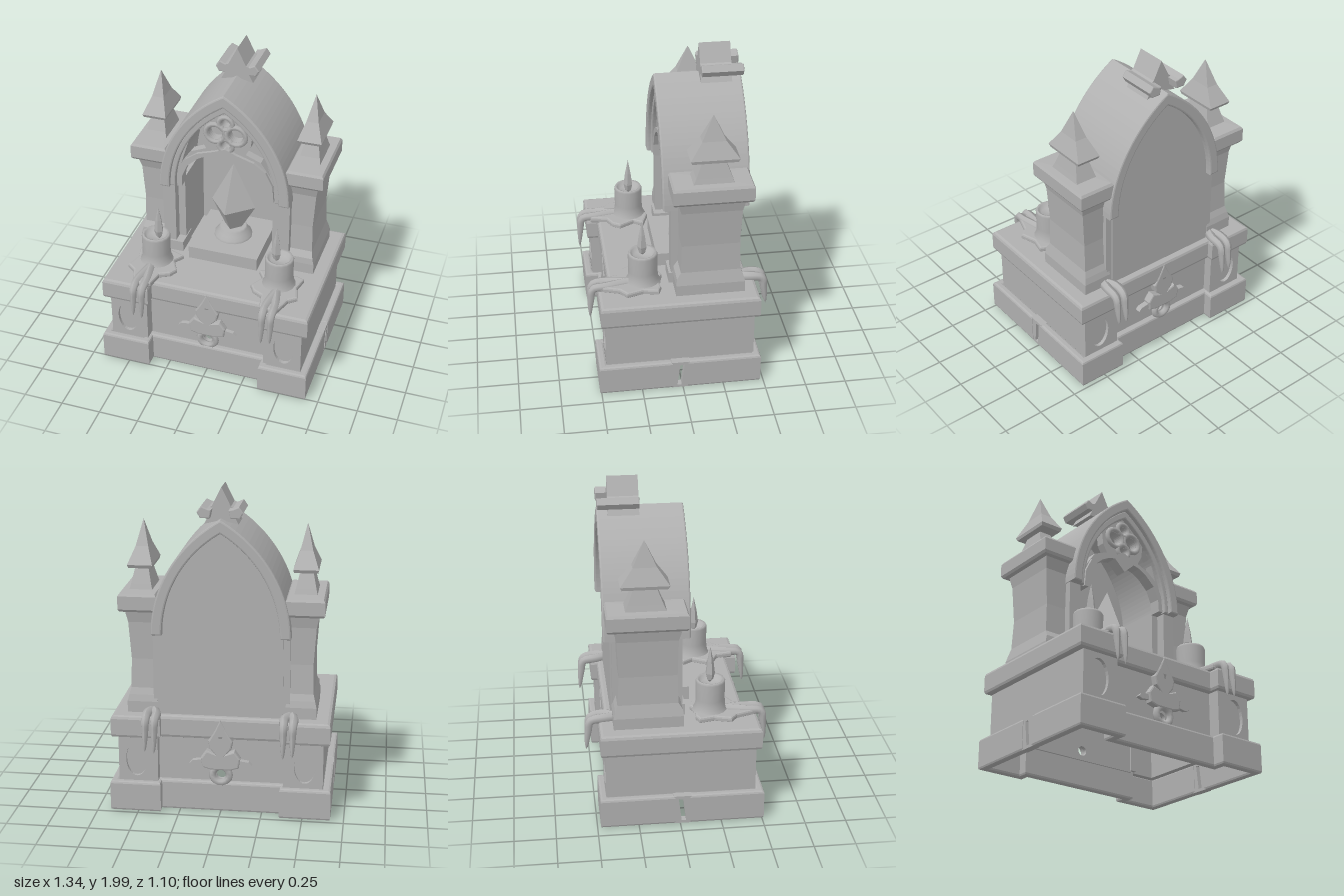
import * as THREE from 'three';

const stone = new THREE.MeshStandardMaterial({ color: 0xb0b0b0 });
stone.name = 'stone';

const shapeOf = pts => new THREE.Shape(pts.map(p => new THREE.Vector2(p[0], p[1])));
const mirrorX = (pts, s) => pts.map(p => [p[0] * s, p[1]]);

export function createModel() {
  const model = new THREE.Group();
  model.name = 'shrine';
  const add = (name, geo, x = 0, y = 0, z = 0) => {
    const m = new THREE.Mesh(geo, stone);
    m.name = name;
    m.position.set(x, y, z);
    model.add(m);
    return m;
  };
  const box = (name, x0, x1, y0, y1, z0, z1) =>
    add(name, new THREE.BoxGeometry(Math.abs(x1 - x0), y1 - y0, z1 - z0), (x0 + x1) / 2, (y0 + y1) / 2, (z0 + z1) / 2);
  const extrude = (shape, len, bevel) => new THREE.ExtrudeGeometry(shape, {
    depth: len - 2 * bevel, bevelEnabled: bevel > 0, bevelThickness: bevel, bevelSize: bevel,
    bevelOffset: -bevel, bevelSegments: 2, curveSegments: 14,
  }).translate(0, 0, bevel);
  // outline given as x, z and raised from y0 to y1
  const plan = (name, pts, y0, y1, bevel = 0.015) =>
    add(name, extrude(shapeOf(pts.map(p => [p[0], -p[1]])), y1 - y0, bevel).rotateX(-Math.PI / 2), 0, y0, 0);
  // outline given as x, y and stretched from z0 to z1
  const facing = (name, shape, z0, z1, bevel = 0) => add(name, extrude(shape, z1 - z0, bevel), 0, 0, z0);
  const lathe = (name, pts, sides, x, z, turn = 0) => {
    const g = new THREE.LatheGeometry(pts.map(p => new THREE.Vector2(...p)), sides).rotateY(turn);
    const geo = sides < 8 ? g.toNonIndexed() : g;
    if (sides < 8) geo.computeVertexNormals();
    return add(name, geo, x, 0, z);
  };

  // stack of rectangles [y, x0, x1, z0, z1] joined by flat sides
  const tower = (name, levels, s) => {
    const pos = [], idx = [];
    levels.forEach(([y, a, b, z0, z1], i) => {
      const x0 = Math.min(a * s, b * s), x1 = Math.max(a * s, b * s);
      pos.push(x0, y, z1, x1, y, z1, x1, y, z0, x0, y, z0);
      if (i) for (let k = 0; k < 4; k++) {
        const p = (i - 1) * 4 + k, q = (i - 1) * 4 + (k + 1) % 4;
        idx.push(p, q, q + 4, p, q + 4, p + 4);
      }
    });
    const g = new THREE.BufferGeometry();
    g.setAttribute('position', new THREE.Float32BufferAttribute(pos, 3));
    g.setIndex(idx);
    const flat = g.toNonIndexed();
    flat.computeVertexNormals();
    return add(name, flat);
  };

  // tube that narrows to a rounded tip
  const drip = (name, pts, r) => {
    const curve = new THREE.CatmullRomCurve3(pts.map(p => new THREE.Vector3(...p)));
    const n = 20, sides = 7, g = new THREE.TubeGeometry(curve, n, r, sides), p = g.attributes.position;
    const v = new THREE.Vector3();
    for (let i = 0; i <= n; i++) {
      const c = curve.getPointAt(i / n), k = Math.sqrt(Math.max(0, 1 - (i / n) ** 4)) * (1.3 - 0.6 * i / n);
      for (let j = 0; j <= sides; j++) {
        const q = i * (sides + 1) + j;
        v.fromBufferAttribute(p, q).sub(c).multiplyScalar(k).add(c);
        p.setXYZ(q, v.x, v.y, v.z);
      }
    }
    g.computeVertexNormals();
    add(name, g);
  };

  // thin hollow footing in two halves, stepped out at the corners
  const half = (gap, out, mid, t) => [[-0.67, gap], [-0.67, out], [-0.36, out], [-0.36, mid], [0.36, mid], [0.36, out],
    [0.67, out], [0.67, gap], [0.62, gap], [0.62, out - t], [0.41, out - t], [0.41, mid - t], [-0.41, mid - t],
    [-0.41, out - t], [-0.62, out - t], [-0.62, gap]];
  plan('footingFront', half(0.06, 0.51, 0.43, 0.05), 0.01, 0.2, 0.014);
  plan('footingBack', half(-0.03, -0.48, -0.42, -0.05), 0.01, 0.2, 0.014);

  // table slab with proud corners
  plan('slab', [[-0.66, -0.47], [-0.36, -0.47], [-0.36, -0.43], [0.36, -0.43], [0.36, -0.47], [0.66, -0.47],
    [0.66, 0.49], [0.36, 0.49], [0.36, 0.42], [-0.36, 0.42], [-0.36, 0.49], [-0.66, 0.49]], 0.48, 0.62, 0.02);

  for (const s of [1, -1]) {
    // middle of the footing side, split by a slanting crack
    const side = shapeOf([[-0.07, 0.012], [0.04, 0.012], [0.04, 0.198], [-0.07, 0.198]]);
    side.holes.push(shapeOf([[-0.035, 0.03], [-0.008, 0.03], [0.01, 0.18], [-0.018, 0.175]]));
    add('crackedSide', extrude(side, 0.045, 0).rotateY(Math.PI / 2), s > 0 ? 0.622 : -0.667, 0, 0);
    // side wall of the chest with hollow corner posts
    plan('sideWall', mirrorX([[0.38, 0.44], [0.62, 0.44], [0.62, -0.42], [0.38, -0.42], [0.38, -0.35], [0.42, -0.35],
      [0.42, -0.39], [0.58, -0.39], [0.58, 0.41], [0.42, 0.41], [0.42, 0.36], [0.38, 0.36]], s), 0.19, 0.49, 0);
    // post faces with an oval niche
    for (const [z0, z1] of [[0.44, 0.462], [-0.442, -0.42]]) {
      const face = shapeOf(mirrorX([[0.38, 0.19], [0.62, 0.19], [0.62, 0.49], [0.38, 0.49]], s));
      face.holes.push(new THREE.Path().absellipse(s * 0.51, 0.34, 0.065, 0.11, 0, Math.PI * 2));
      facing('postFace', face, z0, z1);
    }

    // pillar and its spire
    tower('pillar', [[0.61, 0.385, 0.57, -0.385, 0.03], [0.69, 0.385, 0.57, -0.385, 0.03], [0.73, 0.39, 0.56, -0.375, 0.025],
      [0.77, 0.4, 0.55, -0.36, 0], [0.95, 0.4, 0.545, -0.35, -0.005], [1.18, 0.4, 0.56, -0.36, 0.0],
      [1.25, 0.39, 0.575, -0.375, 0.02], [1.255, 0.385, 0.6, -0.41, 0.045], [1.27, 0.38, 0.61, -0.42, 0.055],
      [1.35, 0.38, 0.61, -0.42, 0.055], [1.365, 0.39, 0.6, -0.41, 0.045], [1.37, 0.49, 0.49, -0.19, -0.19]], s);
    tower('spire', [[1.36, 0.42, 0.56, -0.31, -0.065], [1.4, 0.43, 0.55, -0.295, -0.085], [1.49, 0.45, 0.53, -0.26, -0.12],
      [1.5, 0.42, 0.56, -0.325, -0.06], [1.52, 0.415, 0.565, -0.335, -0.05], [1.62, 0.45, 0.525, -0.26, -0.12],
      [1.77, 0.487, 0.488, -0.191, -0.189]], s);

    // niche side walls
    box('nicheWall', s * 0.33, s * 0.41, 0.61, 1.13, -0.38, 0.04);
    box('nichePilaster', s * 0.285, s * 0.33, 0.61, 1.14, -0.38, -0.02);
    box('pilasterFoot', s * 0.28, s * 0.42, 0.61, 0.69, -0.1, 0.055);

    // candle in a wax pool
    plan('waxPool', mirrorX([[0.54, 0.13], [0.49, 0.11], [0.42, 0.12], [0.36, 0.09], [0.25, 0.13], [0.29, 0.19],
      [0.24, 0.28], [0.27, 0.33], [0.33, 0.36], [0.35, 0.46], [0.4, 0.48], [0.46, 0.48], [0.5, 0.36], [0.55, 0.32],
      [0.52, 0.22]], s), 0.61, 0.65, 0.012);
    lathe('candle', [[0.11, 0.64], [0.093, 0.67], [0.088, 0.72], [0.09, 0.83], [0.083, 0.845],
      [0.07, 0.84], [0.055, 0.815], [0, 0.81]], 16, s * 0.4, 0.21);
    lathe('flame', [[0, 0.81], [0.02, 0.83], [0.03, 0.87], [0.02, 0.95], [0, 1.045]], 5, s * 0.38, 0.21);

    // wax running over the front and back edges
    for (const [x, low] of [[0.44, 0.43], [0.385, 0.42]]) {
      drip('frontDrip', [[s * 0.41, 0.64, 0.3], [s * x, 0.64, 0.44], [s * x, 0.63, 0.515], [s * x, 0.55, 0.53], [s * x, low, 0.54]], 0.025);
      drip('backDrip', [[s * 0.42, 0.63, -0.36], [s * x, 0.635, -0.44], [s * x, 0.62, -0.515], [s * x, 0.55, -0.53], [s * x, low, -0.545]], 0.025);
    }
  }

  // pierced panels and their leaf ornament, front and back
  for (const [z0, z1, o0, o1] of [[0.36, 0.385, 0.38, 0.425], [-0.385, -0.36, -0.435, -0.38]]) {
    const panel = shapeOf([[-0.39, 0.18], [0.39, 0.18], [0.39, 0.49], [-0.39, 0.49]]);
    panel.holes.push(new THREE.Path().absarc(0, 0.24, 0.03, 0, Math.PI * 2));
    facing('panel', panel, z0, z1);
    add('ornamentRing', new THREE.TorusGeometry(0.052, 0.022, 6, 14), 0, 0.248, (o0 + o1) / 2);
    const leaf = shapeOf([[0, 0.61], [0.035, 0.54], [0.075, 0.47], [0.065, 0.42], [0.03, 0.385], [0.085, 0.41], [0.12, 0.36],
      [0.11, 0.3], [0.06, 0.285], [-0.06, 0.285], [-0.11, 0.3], [-0.12, 0.36], [-0.085, 0.41], [-0.03, 0.385],
      [-0.065, 0.42], [-0.075, 0.47], [-0.035, 0.54]]);
    leaf.holes.push(shapeOf([[0, 0.58], [0.03, 0.52], [0, 0.45], [-0.03, 0.52]]));
    facing('ornamentLeaf', leaf, o0, o1, 0.01);
    for (const s of [1, -1])
      facing('ornamentTendril', shapeOf(mirrorX([[0.1, 0.35], [0.17, 0.34], [0.19, 0.32], [0.16, 0.31], [0.1, 0.32]], s)), o0 + 0.01, o1 - 0.01);
  }

  // pointed arch outlines, right foot to left foot
  const archPts = (w, top, y0 = 1.12) => {
    const c = new THREE.CubicBezierCurve(new THREE.Vector2(w, y0), new THREE.Vector2(w, y0 + (top - y0) * 0.43),
      new THREE.Vector2(w * 0.585, y0 + (top - y0) * 0.8), new THREE.Vector2(0, top));
    const right = c.getPoints(24).map(p => [p.x, p.y]);
    return [...right, ...mirrorX(right.slice(0, -1).reverse(), -1)];
  };
  const band = (w0, t0, w1, t1) => shapeOf([...archPts(w0, t0), ...archPts(w1, t1).reverse()]);
  facing('vault', band(0.415, 1.82, 0.35, 1.74), -0.43, 0.09, 0.01);
  facing('vaultMoulding', band(0.355, 1.745, 0.32, 1.69), -0.36, 0.065, 0.008);
  facing('backPanel', shapeOf([[0.37, 0.61], ...archPts(0.37, 1.76), [-0.37, 0.61]]), -0.39, -0.365);

  // tracery with side lights and a four-lobed window
  const low = [[0.28, 1.12], [0.275, 1.2], [0.24, 1.28], [0.175, 1.34], [0.12, 1.37], [0.075, 1.38]];
  const tracery = shapeOf([...archPts(0.335, 1.72), ...mirrorX(low, -1), [0, 1.31], ...low.slice().reverse()]);
  for (const s of [1, -1]) {
    tracery.holes.push(shapeOf(mirrorX([[0.285, 1.28], [0.22, 1.375], [0.125, 1.415], [0.155, 1.47], [0.165, 1.55], [0.235, 1.45]], s)));
  }
  for (const [x, y, r] of [[0.065, 1.535, 0.045], [-0.065, 1.535, 0.045], [0, 1.61, 0.028], [0, 1.46, 0.028]]) {
    tracery.holes.push(new THREE.Path().absarc(x, y, r, 0, Math.PI * 2));
    add('lobeRing', new THREE.TorusGeometry(r + 0.015, 0.016, 6, 16), x, y, 0.04);
  }
  facing('tracery', tracery, -0.02, 0.035);
  facing('traceryRib', shapeOf([...low, [0, 1.31], ...mirrorX(low, -1).reverse(), [-0.31, 1.12], [-0.3, 1.23],
    [-0.255, 1.32], [-0.18, 1.375], [-0.07, 1.41], [0, 1.44], [0.07, 1.41], [0.18, 1.375], [0.255, 1.32], [0.3, 1.23],
    [0.31, 1.12]]), 0.02, 0.055);

  // altar step, gem stand and gem
  box('altarStep', -0.225, 0.225, 0.61, 0.705, -0.33, 0.105);
  lathe('gemStand', [[0.122, 0.7], [0.12, 0.72], [0.1, 0.74], [0.09, 0.765], [0.08, 0.775], [0, 0.775]], 16, 0, -0.12);
  lathe('gem', [[0, 0.75], [0.055, 0.77], [0.147, 0.94], [0, 1.235]], 4, 0, -0.12, -0.08);

  // ridge finial: pointed star with two longer side bars
  facing('finialStar', shapeOf([[0, 2], [0.055, 1.89], [0.1, 1.87], [0.075, 1.835], [0.1, 1.785], [0, 1.81],
    [-0.1, 1.785], [-0.075, 1.835], [-0.1, 1.87], [-0.055, 1.89]]), -0.365, -0.18);
  for (const s of [1, -1])
    facing('finialBar', shapeOf(mirrorX([[0.05, 1.88], [0.075, 1.885], [0.11, 1.9], [0.135, 1.865], [0.115, 1.83],
      [0.06, 1.83]], s)), -0.43, -0.18, 0.006);

  return model;
}
